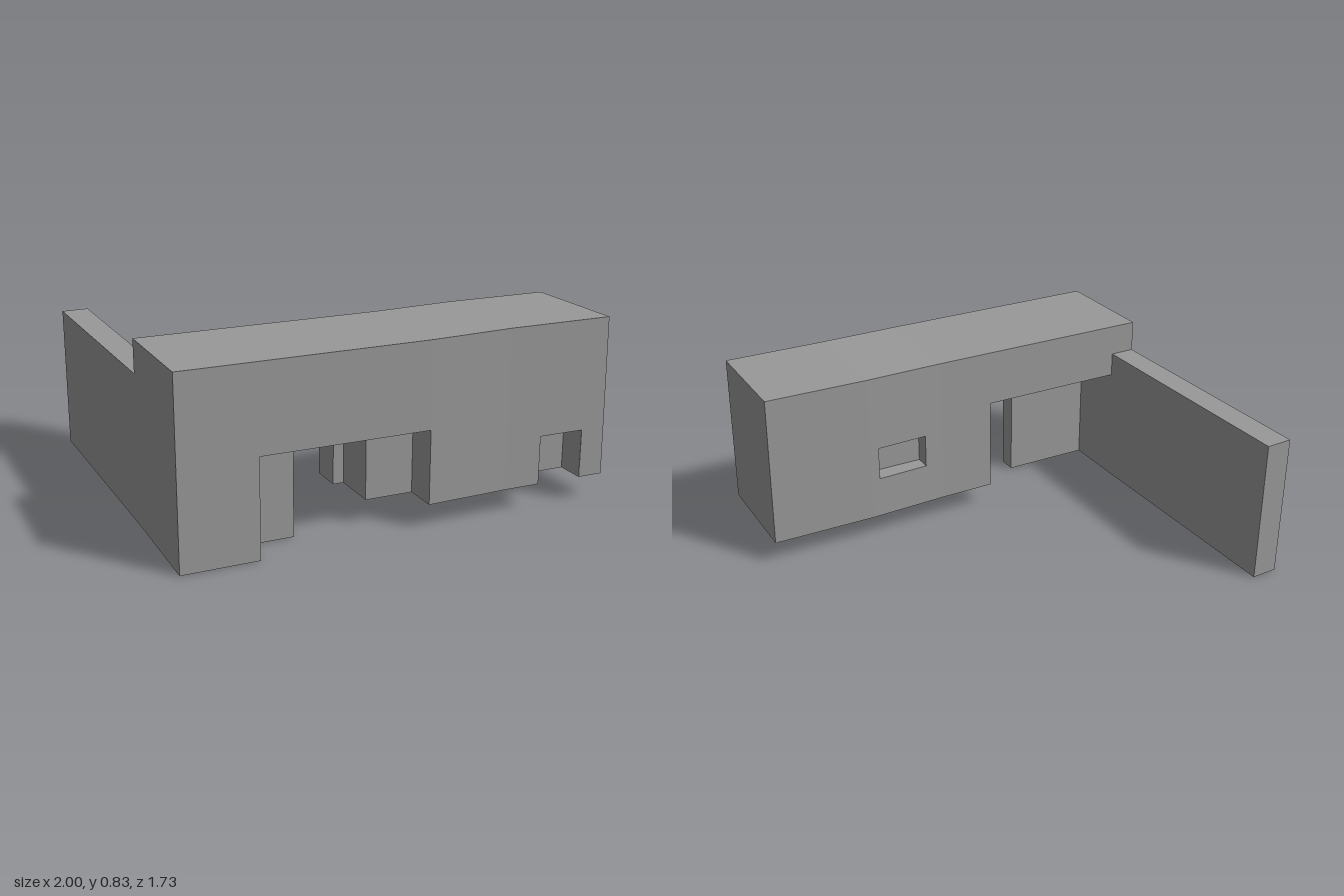
import * as THREE from 'three';

export function createModel() {
  const group = new THREE.Group();
  const material = new THREE.MeshStandardMaterial({ color: 0x999999, flatShading: true, side: THREE.DoubleSide });

  const add = (name, geometry) => {
    geometry.computeVertexNormals();
    const mesh = new THREE.Mesh(geometry, material);
    mesh.name = name;
    group.add(mesh);
  };

  // Four-cornered faces, each given as [x, y, z] corners counter-clockwise from outside
  const quads = (name, list) => {
    const positions = list.flatMap(([a, b, c, d]) => [a, b, c, a, c, d].flat());
    const geometry = new THREE.BufferGeometry();
    geometry.setAttribute('position', new THREE.Float32BufferAttribute(positions, 3));
    add(name, geometry);
  };

  // Upright walls along a ground path of [x, z, top] points
  const walls = (name, path, base) => quads(name, path.slice(1).map(([x, z, y], i) => {
    const [px, pz, py] = path[i];
    return [[px, base, pz], [x, base, z], [x, y, z], [px, py, pz]];
  }));
  const withTop = (path, top) => path.map(([x, z]) => [x, z, top]);

  const toShape = (pts) => new THREE.Shape(pts.map(([a, b]) => new THREE.Vector2(a, b)));

  // Level face over a footprint of [x, z] points
  const slab = (name, pts, y, up) => {
    const geometry = new THREE.ShapeGeometry(toShape(pts.map(([x, z]) => [x, -z])));
    geometry.rotateX(-Math.PI / 2).translate(0, y, 0);
    if (!up) geometry.index.array.reverse();
    add(name, geometry);
  };

  // Stations along the block, which bends slightly: x, front z, back z, roof height
  const stations = [
    [-0.98, 0.864, 0.332, 0.824],
    [0.12, 0.857, 0.327, 0.827],
    [0.5, 0.842, 0.311, 0.831],
    [0.99, 0.844, 0.316, 0.832],
  ];
  const zAt = (x, bay, side) => {
    const a = stations[bay], b = stations[bay + 1];
    return a[side] + (b[side] - a[side]) * (x - a[0]) / (b[0] - a[0]);
  };
  const FRONT = 1, BACK = 2;
  const base = 0.11, lintel = 0.44, rearLintel = 0.56, wallTop = 0.675, endX = 1;

  // One flat bay of a long face: lower outline of [x, y] points, closed along the roof
  const bayFace = (name, bay, side, lower, hole) => {
    const [a, b] = [stations[bay], stations[bay + 1]];
    const shape = toShape([...lower, [b[0], b[3]], [a[0], a[3]]]);
    if (hole) shape.holes.push(toShape(hole));
    const geometry = new THREE.ShapeGeometry(shape);
    const p = geometry.attributes.position;
    for (let i = 0; i < p.count; i++) p.setZ(i, zAt(p.getX(i), bay, side));
    if (side === BACK) geometry.index.array.reverse();
    add(name, geometry);
  };

  // Main block: roof, long faces and ends
  quads('roof', stations.slice(1).map(([x, f, b, y], i) => {
    const [px, pf, pb, py] = stations[i];
    return [[px, py, pf], [x, y, f], [x, y, b], [px, py, pb]];
  }));
  const [nl, nr, nf, nb] = [0.67, 0.883, 0.843, 0.71];
  const [nicheTop, nicheRear] = [0.33, 0.28];
  bayFace('frontFace', 0, FRONT, [[-0.98, 0], [-0.64, 0], [-0.64, lintel], [0.12, lintel]]);
  bayFace('frontFace', 1, FRONT, [[0.12, base], [0.5, base]]);
  bayFace('frontFace', 2, FRONT, [
    [0.5, base], [nl, base], [nl, nicheTop], [nr, nicheTop], [nr, base], [endX, base],
  ]);
  const opening = [[0.21, 0.31], [0.46, 0.31], [0.46, 0.47], [0.21, 0.47]];
  bayFace('backFace', 0, BACK, [[-0.98, rearLintel], [-0.15, rearLintel], [-0.15, base], [0.12, base]]);
  bayFace('backFace', 1, BACK, [[0.12, base], [0.5, base]], opening);
  bayFace('backFace', 2, BACK, [[0.5, base], [endX, base]]);
  const [[rx, rf, rb, ry], , , [lx, lf, lb, ly]] = stations;
  quads('leftEnd', [[
    [endX, base, zAt(endX, 2, FRONT)], [endX, base, zAt(endX, 2, BACK)], [lx, ly, lb], [lx, ly, lf],
  ]]);
  walls('rightEnd', [[rx, rb, ry], [rx, rf, ry]], 0);

  // Passage: stepped jambs, and a ceiling that rises towards the back
  const rise = 0.48, fall = 0.61;
  const pillar = [[-0.64, zAt(-0.64, 0, FRONT)], [-0.64, 0.7], [-0.43, 0.7], [-0.43, fall], [-0.86, fall]];
  const jambRear = [[-0.15, zAt(-0.15, 0, BACK)], [-0.15, rise], [-0.1, rise]];
  const jambFront = [[-0.1, fall], [-0.1, 0.7], [0.12, 0.7], [0.12, stations[1][FRONT]]];
  walls('pillar', withTop(pillar, lintel), 0);
  walls('jamb', [...withTop(jambRear, rearLintel), ...withTop(jambFront, lintel)], base);
  slab('passageCeiling', [...jambFront, ...pillar.slice(0, 4)], lintel, false);
  quads('passageCeilingSlope', [[
    [-0.86, rearLintel, rise], [-0.1, rearLintel, rise], [-0.1, lintel, fall], [-0.86, lintel, fall],
  ]]);
  slab('passageRearCeiling', [
    ...jambRear.slice(0, 2), [-0.86, rise], [-0.86, zAt(-0.86, 0, BACK)],
  ], rearLintel, false);
  slab('pillarBase', [[-0.86, 0.7], [-0.43, 0.7], [-0.43, fall], [-0.86, fall]], 0, false);
  slab('jambBase', [...jambRear, ...jambFront.slice(0, 3), [0.12, stations[1][BACK]]], base, false);

  // Front niche with sloping ceiling
  quads('niche', [
    [[nl, base, nf], [nl, base, nb], [nl, nicheRear, nb], [nl, nicheTop, nf]],
    [[nl, base, nb], [nr, base, nb], [nr, nicheRear, nb], [nl, nicheRear, nb]],
    [[nr, base, nb], [nr, base, nf], [nr, nicheTop, nf], [nr, nicheRear, nb]],
    [[nl, nicheRear, nb], [nr, nicheRear, nb], [nr, nicheTop, nf], [nl, nicheTop, nf]],
  ]);

  // Rear window recess
  const recess = 0.4;
  quads('windowRecess', [
    ...opening.map(([x, y], i) => {
      const [nx, ny] = opening[(i + 1) % 4];
      return [[x, y, zAt(x, 1, BACK)], [nx, ny, zAt(nx, 1, BACK)], [nx, ny, recess], [x, y, recess]];
    }),
    [...opening].reverse().map(([x, y]) => [x, y, recess]),
  ]);

  // Long side wall reaching back
  const sideWall = [[-0.86, 0.332], [-0.874, -0.867], [-1, -0.862], [-0.98, 0.332]];
  walls('sideWall', withTop([[-0.86, fall], ...sideWall], wallTop), 0);
  slab('sideWallTop', sideWall, wallTop, true);
  slab('sideWallBase', sideWall, 0, false);

  return group;
}
